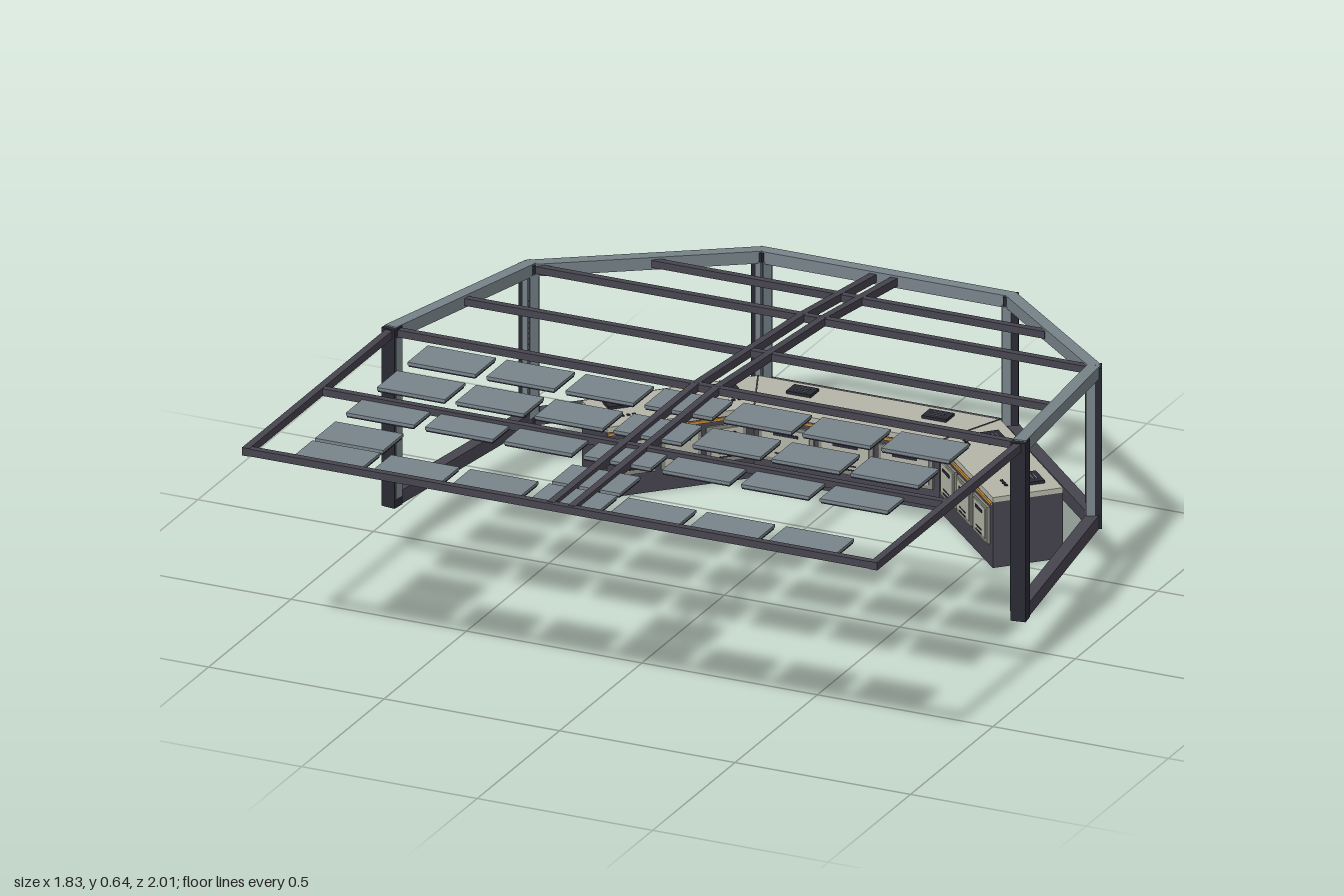
import * as THREE from 'three';

const mat = (name, color) => {
  const m = new THREE.MeshStandardMaterial({ color });
  m.name = name;
  return m;
};

export function createModel() {
  const root = new THREE.Group();
  root.name = 'controlRoom';
  const slate = mat('slate grey', 0x78848a);
  const dark = mat('dark grey', 0x46444e);
  const ink = mat('near black', 0x282933);
  const beige = mat('warm beige', 0xb4b5a8);
  const trim = mat('beige shade', 0x85877d);
  const amber = mat('amber', 0xc08a3a);
  const lamp = mat('brown lamp', 0x8a6636);

  const box = (parent, name, material, size, pos) => {
    const m = new THREE.Mesh(new THREE.BoxGeometry(...size), material);
    m.name = name;
    m.position.set(...pos);
    parent.add(m);
    return m;
  };
  // Rectangular bar running between two points
  const bar = (name, material, a, b, w, h, extra = 0) => {
    const p = new THREE.Vector3(...a), q = new THREE.Vector3(...b);
    const m = box(root, name, material, [w, h, p.distanceTo(q) + extra], p.clone().add(q).multiplyScalar(0.5).toArray());
    m.lookAt(q);
    return m;
  };

  // Perimeter corners: x, z, height of the roof beam
  const half = [[0.895, 0.11, 0.62], [0.805, -0.53, 0.57], [0.355, -0.983, 0.516]];
  const ring = [...half, ...half.slice().reverse().map(([x, z, y]) => [-x, z, y])];
  const turn = [0.14, 0.46, 0.39];
  for (let i = 0; i < ring.length - 1; i++) {
    const [x0, z0, y0] = ring[i], [x1, z1, y1] = ring[i + 1];
    bar('roofEdgeBeam', slate, [x0, y0, z0], [x1, y1, z1], 0.034, 0.034, 0.015);
    bar('lowerEdgeBeam', dark, [x0, 0.154, z0], [x1, 0.154, z1], 0.034, 0.038, 0.012);
  }

  // Posts with a lighter inner face
  for (const s of [1, -1]) {
    half.forEach(([x, z, y], i) => {
      const post = new THREE.Group();
      post.name = 'post';
      post.position.set(s * x, 0, z);
      post.rotation.y = s * turn[i];
      root.add(post);
      const h = y + 0.014 - 0.135;
      box(post, 'postCore', ink, [0.04, h, 0.038], [0, 0.135 + h / 2, 0]);
      box(post, 'postInnerFace', slate, [0.004, h - 0.05, 0.03], [-s * 0.021, 0.135 + h / 2, 0]);
      if (i > 0) box(post, 'postRoomFace', slate, [0.022, h - 0.05, 0.004], [-s * 0.009, 0.135 + h / 2, 0.02]);
    });

    // Flat front roof sides and the paired spine beams
    bar('roofSideBeam', dark, [s * 0.895, 0.62, 0.11], [s * 0.895, 0.62, 1], 0.02, 0.022);
    const spine = [[0.62, 0.99], [0.62, 0.11], [0.57, -0.53], [0.515, -0.975]];
    for (let i = 0; i < 3; i++) {
      bar('spineBeam', dark, [s * 0.03, ...spine[i]], [s * 0.03, ...spine[i + 1]], 0.02, 0.022);
    }
  }

  // Roof cross beams: z, y, half length
  for (const [z, y, w] of [[0.99, 0.62, 0.905], [0.545, 0.62, 0.895], [0.108, 0.62, 0.88],
    [-0.21, 0.595, 0.845], [-0.535, 0.57, 0.8], [-0.76, 0.542, 0.56]]) {
    box(root, 'crossBeam', dark, [2 * w, 0.02, 0.02], [0, y, z]);
  }

  // Ceiling panels, a few of them lit underneath
  const all = [0, 1, 2, 3, 4, 5, 6];
  const rows = [
    { z: 0.217, cols: all, lit: [1, 3, 5] },
    { z: 0.403, cols: all, lit: [] },
    { z: 0.59, cols: all, lit: [0, 4] },
    { z: 0.778, cols: [0, 3], lit: [] },
    { z: 0.918, cols: all, lit: [1, 5] },
  ];
  for (const { z, cols, lit } of rows) {
    for (const c of cols) {
      const x = (c - 3) * 0.225;
      box(root, 'ceilingPanel', slate, [0.194, 0.008, 0.124], [x, 0.616, z]);
      box(root, 'panelUnderside', ink, [0.19, 0.005, 0.12], [x, 0.6095, z]);
      if (lit.includes(c)) box(root, 'panelLamp', lamp, [0.12, 0.004, 0.075], [x, 0.6065, z]);
    }
  }

  // Console plan, extruded upward
  const plan = [[-0.345, -0.94], [0.345, -0.94], [0.685, -0.595], [0.55, -0.458],
    [0.264, -0.743], [-0.264, -0.743], [-0.55, -0.458], [-0.685, -0.595]];
  const slab = (name, material, y, h) => {
    const shape = new THREE.Shape(plan.map(([x, z]) => new THREE.Vector2(x, -z)));
    const g = new THREE.ExtrudeGeometry(shape, { depth: h, bevelEnabled: false });
    g.rotateX(-Math.PI / 2);
    const m = new THREE.Mesh(g, material);
    m.name = name;
    m.position.y = y;
    root.add(m);
  };
  slab('consoleBase', dark, 0, 0.183);
  slab('consoleTop', beige, 0.183, 0.014);
  for (const s of [1, -1]) {
    bar('topSeam', dark, [s * 0.264, 0.1975, -0.743], [s * 0.345, 0.1975, -0.94], 0.004, 0.002);
  }

  // Drawer fronts along the room side of each console section
  const drawers = (x, z, angle, length, pitch) => {
    const g = new THREE.Group();
    g.name = 'drawerBank';
    g.position.set(x, 0, z);
    g.rotation.y = angle;
    root.add(g);
    box(g, 'amberStrip', amber, [length, 0.008, 0.006], [0, 0.177, 0.002]);
    for (const k of [-1, 0, 1]) {
      const w = pitch - 0.014, cx = k * pitch;
      box(g, 'drawerFrame', trim, [w, 0.102, 0.008], [cx, 0.11, 0.003]);
      box(g, 'drawerFront', beige, [w - 0.022, 0.082, 0.004], [cx, 0.112, 0.008]);
      box(g, 'drawerHandle', ink, [w * 0.45, 0.008, 0.006], [cx, 0.138, 0.009]);
      for (const y of [0.074, 0.085]) box(g, 'drawerSlot', ink, [w * 0.4, 0.004, 0.003], [cx, y, 0.0095]);
    }
  };
  drawers(0, -0.743, 0, 0.525, 0.17);
  drawers(0.407, -0.6005, -Math.PI / 4, 0.4, 0.124);
  drawers(-0.407, -0.6005, Math.PI / 4, 0.4, 0.124);

  // Counter devices: a dark screen plate and a row of small buttons
  for (const s of [1, -1]) {
    for (const [x, z, a] of [[0.193, -0.885, 0], [0.385, -0.815, 1], [0.588, -0.61, 1]]) {
      const g = new THREE.Group();
      g.name = 'counterDevice';
      g.position.set(s * x, 0.197, z);
      g.rotation.y = -s * a * Math.PI / 4;
      root.add(g);
      box(g, 'devicePlate', ink, [0.07, 0.008, 0.05], [0, 0.004, 0]);
      for (const k of [-1, 0, 1]) {
        box(g, 'deviceLine', slate, [0.036, 0.002, 0.004], [0, 0.0085, k * 0.01]);
        box(g, 'button', ink, [0.008, 0.003, 0.008], [k * 0.016, 0.0015, 0.075]);
      }
    }
  }
  return root;
}
